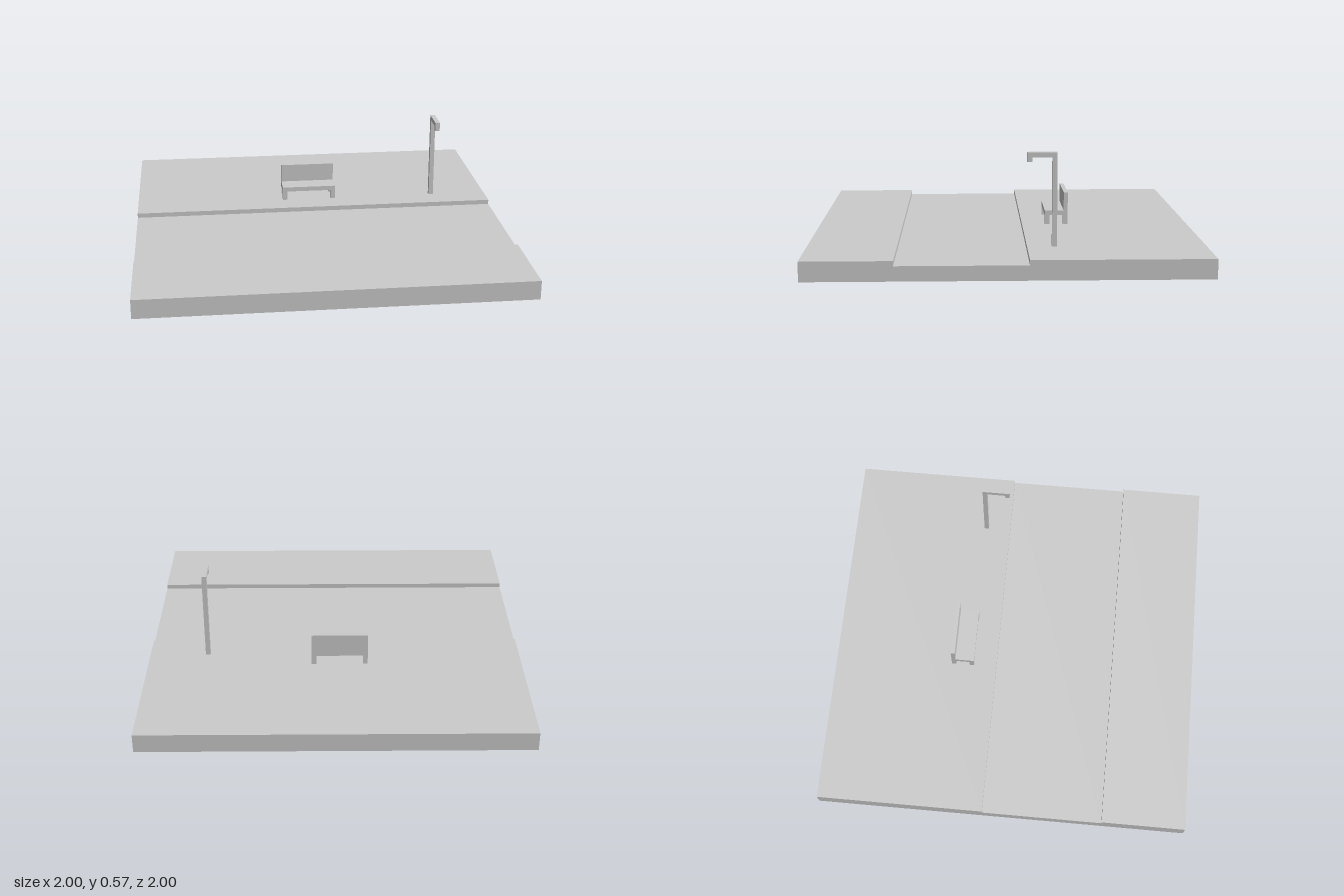
import * as THREE from 'three';

const material = new THREE.MeshStandardMaterial({ color: 0xcccccc, flatShading: true });

// Box given by its limits on each axis
function block(name, [x0, x1], [y0, y1], [z0, z1]) {
  const mesh = new THREE.Mesh(new THREE.BoxGeometry(x1 - x0, y1 - y0, z1 - z0), material);
  mesh.name = name;
  mesh.position.set((x0 + x1) / 2, (y0 + y1) / 2, (z0 + z1) / 2);
  return mesh;
}

// Ground slab with the sunken road, extruded along x
function createGround() {
  const profile = new THREE.Shape([
    [-1, 0], [1, 0], [1, 0.1], [0.1, 0.1], [0.1, 0.075], [-0.55, 0.075], [-0.55, 0.1], [-1, 0.1],
  ].map(([x, y]) => new THREE.Vector2(x, y)));
  const geometry = new THREE.ExtrudeGeometry(profile, { depth: 2, bevelEnabled: false });
  geometry.translate(0, 0, -1).rotateY(Math.PI / 2); // profile x becomes -z
  const ground = new THREE.Mesh(geometry, material);
  ground.name = 'groundWithRoad';
  return ground;
}

function createBench() {
  const bench = new THREE.Group();
  bench.name = 'bench';
  const width = [-0.175, 0.125];
  bench.add(block('seat', width, [0.15, 0.175], [-0.35, -0.225]));
  bench.add(block('backrest', width, [0.175, 0.275], [-0.35, -0.328]));
  for (const x of [-0.175, 0.1]) {
    for (const z of [-0.35, -0.25]) {
      bench.add(block('benchLeg', [x, x + 0.025], [0.1, 0.15], [z, z + 0.025]));
    }
  }
  return bench;
}

function createStreetLamp() {
  const lamp = new THREE.Group();
  lamp.name = 'streetLamp';
  const width = [0.675, 0.7];
  lamp.add(block('post', width, [0.1, 0.575], [-0.25, -0.225]));
  lamp.add(block('arm', width, [0.55, 0.575], [-0.225, -0.1]));
  lamp.add(block('lampHead', width, [0.527, 0.55], [-0.125, -0.1]));
  return lamp;
}

export function createModel() {
  const model = new THREE.Group();
  model.name = 'streetScene';
  model.add(createGround(), createBench(), createStreetLamp());
  return model;
}
